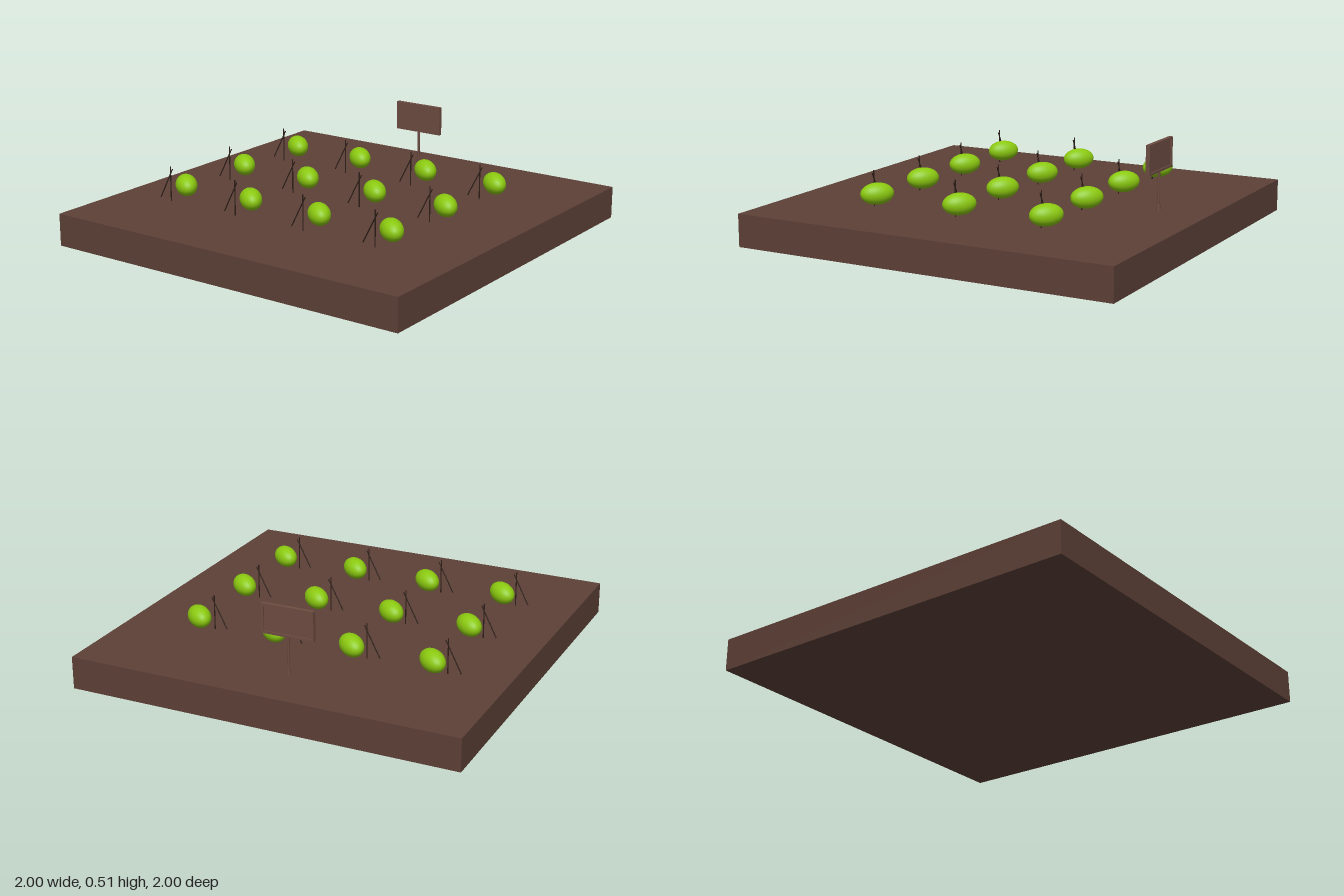
import * as THREE from 'three';

const mat = (color) => new THREE.MeshStandardMaterial({ color });
const soil = mat(0x5d4037), wood = mat(0x6d4c41), stick = mat(0x2e1f18), green = mat(0x8bc910);
const GROUND = 0.165;

function add(parent, name, geometry, material, x = 0, y = 0, z = 0) {
  const mesh = new THREE.Mesh(geometry, material);
  mesh.name = name;
  mesh.position.set(x, y, z);
  parent.add(mesh);
  return mesh;
}

// Thin round rod between two points
function rod(parent, name, from, to, radius, material) {
  const a = new THREE.Vector3(...from), b = new THREE.Vector3(...to);
  const dir = b.clone().sub(a);
  const mesh = add(parent, name, new THREE.CylinderGeometry(radius, radius, dir.length(), 8), material);
  mesh.position.copy(a).add(b).multiplyScalar(0.5);
  mesh.quaternion.setFromUnitVectors(new THREE.Vector3(0, 1, 0), dir.normalize());
  return mesh;
}

// One fruit with its upright and leaning stakes
function createPlant(x, z) {
  const plant = new THREE.Group();
  plant.name = 'plant';
  plant.position.set(x, 0, z);
  const fruit = add(plant, 'fruit', new THREE.SphereGeometry(1, 32, 20), green, 0, 0.245, 0);
  fruit.scale.set(0.084, 0.054, 0.054);
  fruit.rotation.y = -0.69;
  rod(plant, 'uprightStake', [-0.055, GROUND, 0.055], [-0.055, 0.345, 0.055], 0.003, stick);
  rod(plant, 'leaningStake', [-0.123, 0.176, 0.055], [-0.042, 0.333, 0.055], 0.003, stick);
  return plant;
}

// Board on a post, with a raised rim on its back face
function createSign() {
  const sign = new THREE.Group();
  sign.name = 'sign';
  sign.position.set(-0.033, 0, -0.742);
  add(sign, 'board', new THREE.BoxGeometry(0.27, 0.15, 0.014), wood, 0, 0.435, 0.003);
  for (const s of [-1, 1]) {
    add(sign, 'rimRail', new THREE.BoxGeometry(0.27, 0.012, 0.008), wood, 0, 0.435 + s * 0.069, -0.007);
    add(sign, 'rimStile', new THREE.BoxGeometry(0.012, 0.126, 0.008), wood, s * 0.129, 0.435, -0.007);
  }
  rod(sign, 'post', [0, GROUND, 0], [0, 0.362, 0], 0.007, wood);
  add(sign, 'postFoot', new THREE.CylinderGeometry(0.009, 0.011, 0.03, 12), wood, 0, 0.182, 0);
  return sign;
}

export function createModel() {
  const model = new THREE.Group();
  model.name = 'gardenPlot';
  add(model, 'soilBed', new THREE.BoxGeometry(2, GROUND, 2), soil, 0, GROUND / 2, 0);

  // Three rows of four plants
  for (let row = -1; row <= 1; row++)
    for (let col = 0; col < 4; col++)
      model.add(createPlant(-0.641 + col * 0.415, row * 0.464 - 0.002));

  model.add(createSign());
  return model;
}
